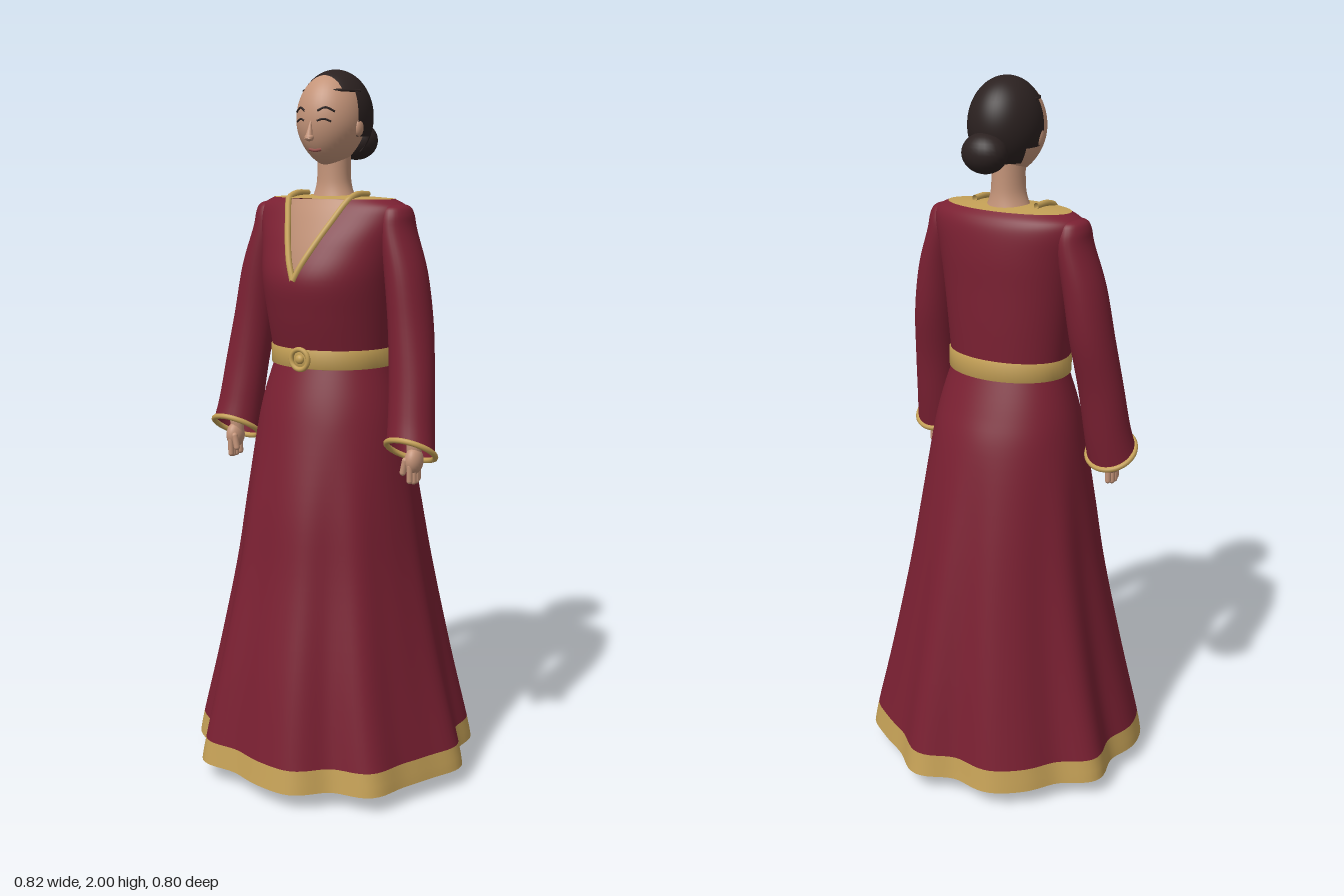
import * as THREE from 'three';
import { mergeVertices } from 'three/addons/utils/BufferGeometryUtils.js';

const mat = (name, color, side = THREE.FrontSide) => {
  const m = new THREE.MeshStandardMaterial({ color, side });
  m.name = name;
  return m;
};
const V = (x, y, z) => new THREE.Vector3(x, y, z);

// Smooth value of a table of rows at t in 0..1
function sample(rows, t) {
  const n = rows.length - 1, s = Math.min(t * n, n - 1e-9), i = Math.floor(s), f = s - i;
  const at = (j) => rows[Math.max(0, Math.min(n, j))];
  return rows[0].map((_, k) => {
    const a = at(i - 1)[k], b = at(i)[k], c = at(i + 1)[k], d = at(i + 2)[k];
    return b + 0.5 * f * (c - a + f * (2 * a - 5 * b + 4 * c - d + f * (3 * (b - c) + d - a)));
  });
}

// Surface from a grid of points f(u, v); u runs counterclockwise, v upward
function surface(nu, nv, f) {
  const pos = [], idx = [];
  for (let j = 0; j <= nv; j++)
    for (let i = 0; i <= nu; i++) pos.push(...f(i / nu, j / nv).toArray());
  for (let j = 0; j < nv; j++)
    for (let i = 0; i < nu; i++) {
      const a = j * (nu + 1) + i, c = a + nu + 1;
      idx.push(a, a + 1, c, a + 1, c + 1, c);
    }
  let g = new THREE.BufferGeometry();
  g.setAttribute('position', new THREE.Float32BufferAttribute(pos, 3));
  g.setIndex(idx);
  g = mergeVertices(g, 1e-5);
  g.computeVertexNormals();
  return g;
}

// Point on an oval ring with separate front and back depth; angle 0 is the front
const oval = ([y, rx, zf, zb], a) =>
  V(rx * Math.sin(a), y, Math.cos(a) > 0 ? zf * Math.cos(a) : -zb * Math.cos(a));
const loft = (rows, nv, nu = 48) =>
  surface(nu, nv, (u, v) => oval(sample(rows, v), u * Math.PI * 2));
const tube = (pts, r, closed = false, seg = 40) =>
  new THREE.TubeGeometry(new THREE.CatmullRomCurve3(pts, closed), seg, r, 8, closed);

export function createModel() {
  const root = new THREE.Group();
  const red = mat('dress red', 0x7a2032, THREE.DoubleSide);
  const gold = mat('gold trim', 0xc4a056, THREE.DoubleSide);
  const skin = mat('skin', 0xc49479);
  const hair = mat('dark hair', 0x2b2120, THREE.DoubleSide);
  const lip = mat('lips', 0x96524c);
  const add = (name, geo, m, parent = root, p = [0, 0, 0], s = [1, 1, 1]) => {
    const mesh = new THREE.Mesh(geo, m);
    mesh.name = name;
    mesh.position.set(...p);
    mesh.scale.set(...s);
    parent.add(mesh);
    return mesh;
  };
  const ball = (name, m, parent, p, s) =>
    add(name, new THREE.SphereGeometry(1, 24, 16), m, parent, p, s);

  // Rippled skirt, with the lowest band as a gold hem
  const skirtRows = [
    [0.05, 0.402, 0.388, -0.388, 0.017], [0.115, 0.39, 0.376, -0.376, 0.016],
    [0.33, 0.338, 0.338, -0.34, 0.011], [0.6, 0.283, 0.283, -0.29, 0.006],
    [0.8, 0.252, 0.252, -0.25, 0.003], [1.0, 0.224, 0.21, -0.205, 0],
    [1.1, 0.205, 0.185, -0.17, 0], [1.2, 0.175, 0.152, -0.13, 0],
  ];
  const skirt = (t0, t1, nv) => surface(144, nv, (u, v) => {
    const row = sample(skirtRows, t0 + (t1 - t0) * v), a = u * Math.PI * 2;
    const th = a - Math.PI / 2;
    const k = 1 + (row[4] / row[1]) * (Math.cos(9 * th) + 0.35 * Math.sin(14 * th));
    return oval([row[0], row[1] * k, row[2] * k, row[3] * k], a);
  });
  add('hem', skirt(0, 1 / 7, 3), gold);
  add('skirt', skirt(1 / 7, 1, 30), red);

  // Belt with round buckle
  add('belt', loft([[1.193, 0.165, 0.15, -0.125], [1.197, 0.181, 0.164, -0.139],
    [1.248, 0.181, 0.167, -0.139], [1.252, 0.165, 0.15, -0.125]], 3, 64), gold);
  add('buckleRing', new THREE.TorusGeometry(0.028, 0.007, 10, 32), gold, root, [0, 1.222, 0.169]);
  ball('buckleStud', gold, root, [0, 1.222, 0.168], [0.013, 0.013, 0.01]);

  // Bodice, open in a V at the front
  const bodiceRows = [
    [1.24, 0.178, 0.16, -0.13], [1.34, 0.188, 0.186, -0.132], [1.44, 0.2, 0.2, -0.132],
    [1.53, 0.215, 0.165, -0.132], [1.6, 0.232, 0.122, -0.125],
    [1.635, 0.228, 0.1, -0.112], [1.655, 0.192, 0.086, -0.092],
  ];
  const neckEdge = (row) => Math.asin(Math.max(0, row[0] - 1.44) * 0.46 / row[1]);
  add('bodice', surface(64, 36, (u, v) => {
    const row = sample(bodiceRows, v), a = neckEdge(row);
    return oval(row, a + u * (Math.PI * 2 - 2 * a));
  }), red);
  add('collarYoke', surface(64, 4, (u, v) => {
    const k = 1 - v;
    return oval([1.655 + 0.012 * v, 0.192 * k, 0.09 * k, -0.092 * k], u * Math.PI * 2);
  }), gold);
  add('chest', loft([[1.38, 0.14, 0.135, -0.08], [1.5, 0.15, 0.118, -0.08],
    [1.6, 0.15, 0.09, -0.08], [1.652, 0.145, 0.07, -0.07]], 12), skin);
  for (const s of [1, -1]) {
    const edge = [];
    for (let i = 0; i <= 8; i++) {
      const row = sample(bodiceRows, (2 + i / 2) / 6);
      edge.push(oval(row, s * neckEdge(row)));
    }
    edge.push(V(s * 0.1, 1.667, 0.035), V(s * 0.1, 1.667, -0.02));
    add('neckTrim', tube(edge, 0.0085), gold);
  }

  // Neck and head
  add('neck', loft([[1.64, 0.07, 0.055, -0.065], [1.68, 0.052, 0.045, -0.056],
    [1.72, 0.046, 0.042, -0.053], [1.8, 0.046, 0.042, -0.053]], 12, 32), skin);
  const head = new THREE.Group();
  head.name = 'head';
  root.add(head);
  const skull = ([x, y, z]) => { // narrows toward the chin
    const k = y < 0 ? 1 - 0.2 * y * y : 1;
    return V(x * k * 0.093, 1.865 + y * 0.125, 0.012 + z * 0.1 * (z < 0 ? k : 1));
  };
  add('face', surface(40, 28, (u, v) => {
    const a = u * Math.PI * 2, b = (v - 0.5) * Math.PI;
    return skull([Math.sin(a) * Math.cos(b), Math.sin(b), Math.cos(a) * Math.cos(b)]);
  }), skin, head);
  // Point on the face at a given sideways and vertical place
  const onFace = (x, y, lift = 0.001) => {
    const ny = (y - 1.865) / 0.125, nx = x / (0.093 * (ny < 0 ? 1 - 0.2 * ny * ny : 1));
    const p = skull([nx, ny, Math.sqrt(Math.max(0, 1 - nx * nx - ny * ny))]);
    p.z += lift;
    return p;
  };
  const stroke = (name, pts, r, m) =>
    add(name, tube(pts.map(([x, y]) => onFace(x, y)), r, false, 12), m, head);
  for (const s of [1, -1]) {
    stroke('eyebrow', [[s * 0.02, 1.888], [s * 0.04, 1.897], [s * 0.062, 1.886]], 0.0028, hair);
    stroke('closedEye', [[s * 0.02, 1.862], [s * 0.037, 1.867], [s * 0.055, 1.86]], 0.0026, hair);
    ball('ear', skin, head, [s * 0.09, 1.845, 0.01], [0.01, 0.024, 0.016]);
  }
  stroke('mouth', [[-0.02, 1.787], [0, 1.784], [0.02, 1.787]], 0.0045, lip);
  const nose = add('nose', new THREE.ConeGeometry(0.012, 0.06, 16), skin, head, [0, 1.842, 0.114]);
  nose.rotation.x = -0.2;
  ball('noseTip', skin, head, [0, 1.818, 0.118], [0.013, 0.01, 0.012]);

  // Hair: crown, sides and back, with a bun
  const hairPart = (name, p0, pl, t0, tl) => add(name,
    new THREE.SphereGeometry(1, 40, 20, p0, pl, t0, tl), hair, head,
    [0, 1.873, -0.012], [0.1, 0.127, 0.114]);
  hairPart('hairCrown', 0, Math.PI * 2, 0, 1.0);
  hairPart('hairBack', Math.PI - 0.3, Math.PI + 0.6, 0.98, 1.02);
  hairPart('hairNape', Math.PI + 0.35, Math.PI - 0.7, 1.98, 0.42);
  const lock = skullEdge => tube(skullEdge, 0.004, false, 20);
  add('fringeEdge', lock([-1, -0.5, 0, 0.5, 1].map((k) =>
    V(0.084 * Math.sin(k * 1.5), 1.942, -0.012 + 0.096 * Math.cos(k * 1.5)))), hair, head);
  ball('bun', hair, head, [0, 1.81, -0.115], [0.065, 0.054, 0.053]);

  // Arms, built on the left and mirrored
  const armRows = [ // y, centre x, centre z, radius x, radius z, tilt
    [0.985, 0.298, 0.07, 0.07, 0.058, 0.65], [1.06, 0.29, 0.055, 0.066, 0.059, 0.35],
    [1.18, 0.279, 0.036, 0.064, 0.06, 0.1], [1.32, 0.261, 0.014, 0.061, 0.068, 0],
    [1.46, 0.239, 0.005, 0.056, 0.07, 0], [1.57, 0.211, 0, 0.046, 0.066, 0],
    [1.615, 0.206, 0, 0.043, 0.058, 0], [1.637, 0.204, 0, 0.032, 0.042, 0],
    [1.645, 0.2, 0, 0.001, 0.001, 0],
  ];
  const armPoint = (v, a) => {
    const [y, cx, cz, rx, rz, tilt] = sample(armRows, v), dz = rz * Math.cos(a);
    return V(cx + rx * Math.sin(a), y + tilt * dz, cz + dz);
  };
  for (const [side, s] of [['left', 1], ['right', -1]]) {
    const arm = new THREE.Group();
    arm.name = side + 'Arm';
    arm.scale.x = s;
    root.add(arm);
    add('sleeve', surface(32, 36, (u, v) => armPoint(v, u * Math.PI * 2)), red, arm);
    const rim = Array.from({ length: 16 }, (_, i) => armPoint(0, i * Math.PI / 8));
    add('cuffTrim', tube(rim, 0.008, true, 48), gold, arm);
    add('wrist', new THREE.CylinderGeometry(0.026, 0.02, 0.16, 16), skin, arm, [0.303, 1.05, 0.06]);
    ball('palm', skin, arm, [0.306, 0.957, 0.065], [0.024, 0.038, 0.032]);
    for (let i = 0; i < 4; i++)
      add('finger', new THREE.CapsuleGeometry(0.0085, 0.04, 4, 10), skin, arm,
        [0.312 - 0.004 * Math.abs(i - 1.5), 0.918 + 0.004 * Math.abs(i - 1.5), 0.043 + i * 0.015]);
    const thumb = add('thumb', new THREE.CapsuleGeometry(0.009, 0.035, 4, 10), skin, arm, [0.288, 0.942, 0.088]);
    thumb.rotation.z = -0.2;

    // Leg, foot and flat sandal sole
    const leg = new THREE.Group();
    leg.name = side + 'Leg';
    leg.scale.x = s;
    root.add(leg);
    add('shin', tube([V(0.09, 0.9, 0), V(0.1, 0.45, -0.012), V(0.108, 0.05, -0.015)], 0.036), skin, leg);
    ball('heel', skin, leg, [0.109, 0.045, -0.025], [0.034, 0.035, 0.04]);
    ball('foot', skin, leg, [0.11, 0.034, 0.07], [0.037, 0.026, 0.11]);
    for (let i = 0; i < 5; i++)
      ball('toe', skin, leg, [0.086 + i * 0.012, 0.02, 0.168 - i * 0.007], [0.008, 0.009, 0.018]);
    add('sandalSole', new THREE.CylinderGeometry(1, 1, 0.012, 40), gold, leg,
      [0.11, 0.006, 0.067], [0.047, 1, 0.142]);
  }
  return root;
}
